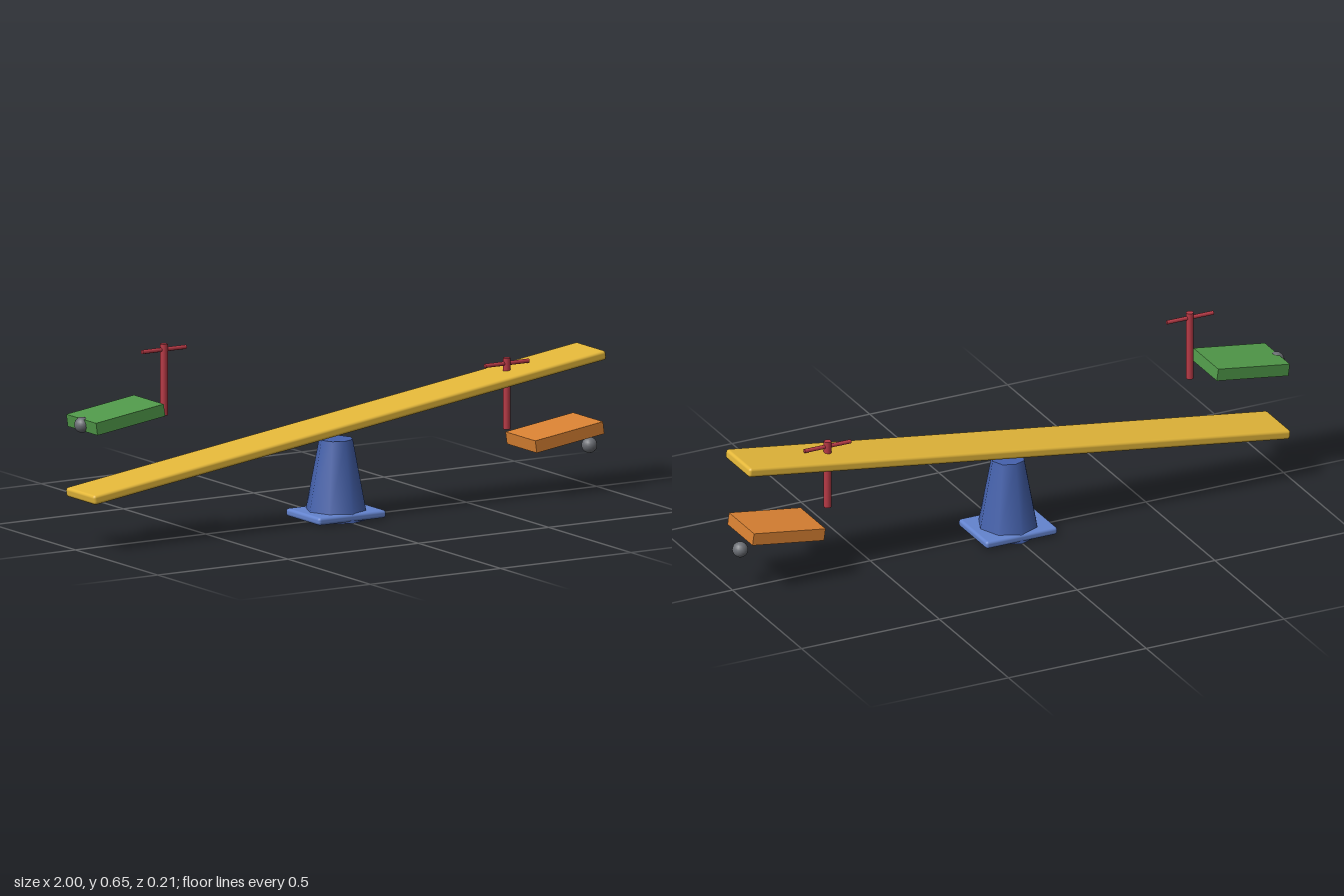
import * as THREE from 'three';
import { RoundedBoxGeometry } from 'three/addons/geometries/RoundedBoxGeometry.js';

const TILT = THREE.MathUtils.degToRad(8);

export function createModel() {
  const group = new THREE.Group();
  group.name = 'seesaw';
  const paint = (color) => new THREE.MeshStandardMaterial({ color });
  const blue = paint(0x4562ad);
  const lightBlue = paint(0x6484cf);
  const yellow = paint(0xe5b83a);
  const red = paint(0xb83a46);
  const grey = paint(0x6a6d73);

  const add = (name, geometry, material, x, y, tilt = 0, parent = group) => {
    const mesh = new THREE.Mesh(geometry, material);
    mesh.name = name;
    mesh.position.set(x, y, 0);
    mesh.rotation.z = tilt;
    parent.add(mesh);
    return mesh;
  };

  // Base plate and eight-sided tapered pivot
  add('basePlate', new RoundedBoxGeometry(0.26, 0.026, 0.206, 2, 0.01), lightBlue, 0, 0.017);
  add('pivot', new THREE.CylinderGeometry(0.056, 0.106, 0.263, 8), blue, 0, 0.1315);

  // Long tilted plank with softened edges
  add('plank', new RoundedBoxGeometry(1.985, 0.032, 0.177, 2, 0.01), yellow, 0, 0.3125, TILT);

  // Each end: seat, T-shaped handle and bumper ball
  const ends = [
    { side: 'right', seat: [-0.845, 0.429], post: [-0.66, 0.528], ball: [-0.974, 0.411], color: 0x519a4a },
    { side: 'left', seat: [0.84, 0.194], post: [0.655, 0.344], ball: [0.972, 0.14], color: 0xda8233 },
  ];
  const seatGeometry = new THREE.BoxGeometry(0.262, 0.041, 0.181);
  const postGeometry = new THREE.CylinderGeometry(0.0125, 0.0125, 0.235, 12);
  const barGeometry = new THREE.CylinderGeometry(0.007, 0.007, 0.168, 8);
  const ballGeometry = new THREE.SphereGeometry(0.026, 16, 12);

  for (const { side, seat, post, ball, color } of ends) {
    add(`${side}Seat`, seatGeometry, paint(color), ...seat, TILT);
    const handle = new THREE.Group();
    handle.name = `${side}Handle`;
    handle.position.set(post[0], post[1], 0);
    add('handlePost', postGeometry, red, 0, 0, 0, handle);
    add('handleBar', barGeometry, red, 0, 0.099, Math.PI / 2, handle);
    group.add(handle);
    add(`${side}Bumper`, ballGeometry, grey, ...ball);
  }
  return group;
}
